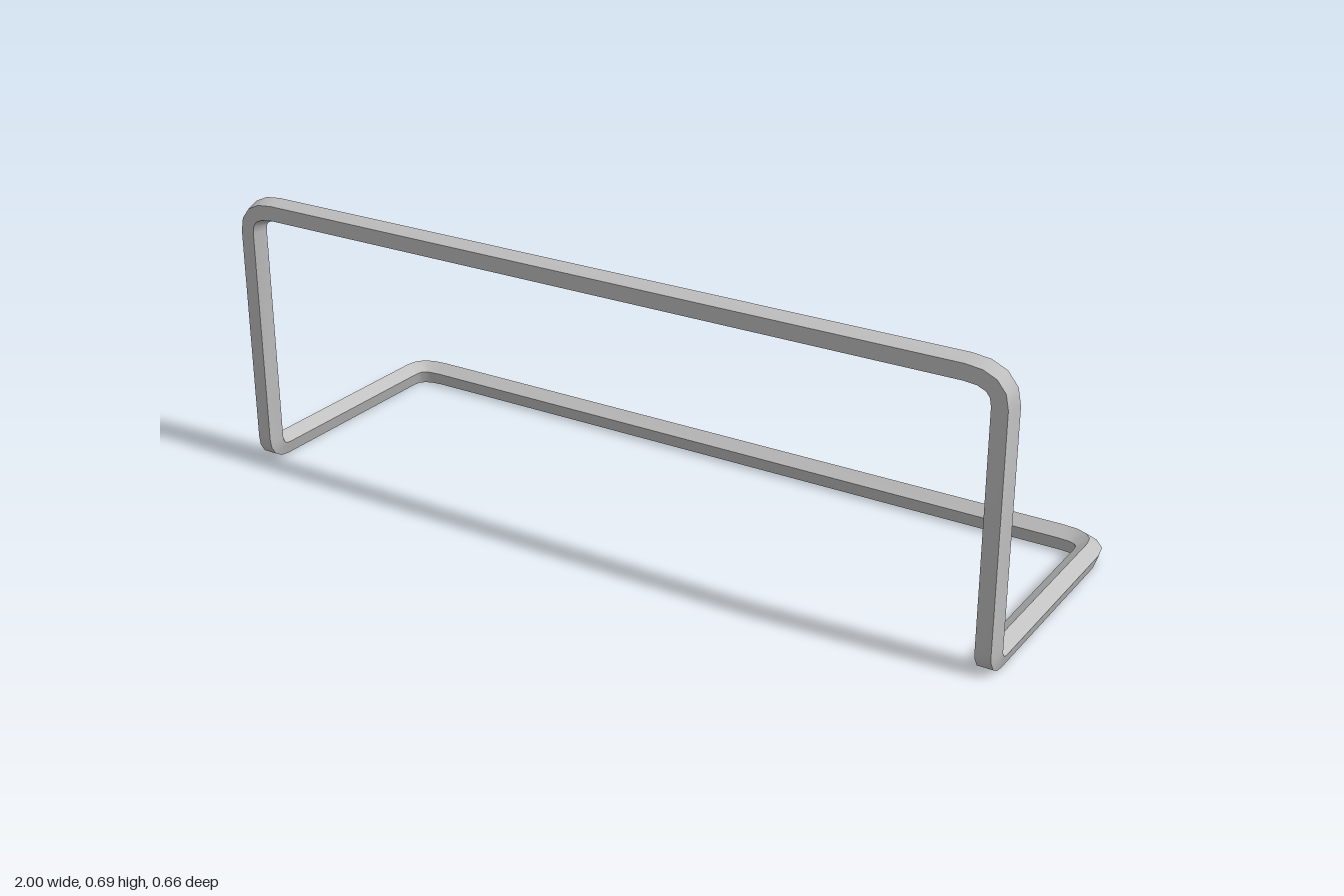
import * as THREE from 'three';
import { toCreasedNormals } from 'three/addons/utils/BufferGeometryUtils.js';

const RADIUS = 0.031;   // five-sided tube
const SIDES = 5;
const BEND_STEPS = 4;

const v = (x, y, z) => new THREE.Vector3(x, y, z);

// Corners of the closed centreline, with the bend length before and after each
const X = 0.97, BASE = 0.025, TOP = 0.6615, FRONT = 0.304, BACK = -0.2975;
const corners = [
  { p: v(X, BASE, BACK), before: 0.08, after: 0.06 },
  { p: v(X, BASE, FRONT), before: 0.034, after: 0.034 },
  { p: v(X, TOP, FRONT), before: 0.06, after: 0.08 },
  { p: v(-X, TOP, FRONT), before: 0.08, after: 0.06 },
  { p: v(-X, BASE, FRONT), before: 0.034, after: 0.034 },
  { p: v(-X, BASE, BACK), before: 0.06, after: 0.08 },
];

// Points and directions along the loop, with each corner rounded
function buildPath() {
  const path = [];
  const n = corners.length;
  corners.forEach(({ p, before, after }, i) => {
    const dirIn = p.clone().sub(corners[(i + n - 1) % n].p).normalize();
    const dirOut = corners[(i + 1) % n].p.clone().sub(p).normalize();
    const bend = new THREE.QuadraticBezierCurve3(
      p.clone().addScaledVector(dirIn, -before), p, p.clone().addScaledVector(dirOut, after));
    for (let k = 0; k <= BEND_STEPS; k++) {
      path.push({ point: bend.getPoint(k / BEND_STEPS), dir: bend.getTangent(k / BEND_STEPS) });
    }
  });
  return path;
}

// Sweep the pentagon, carrying its orientation around every bend
function buildTube() {
  const path = buildPath();
  const positions = [], index = [];
  const up = v(0, 1, 0), turn = new THREE.Quaternion();
  path.forEach(({ point, dir }, i) => {
    if (i > 0) up.applyQuaternion(turn.setFromUnitVectors(path[i - 1].dir, dir));
    const side = dir.clone().cross(up);
    for (let j = 0; j < SIDES; j++) {
      const a = (j / SIDES) * Math.PI * 2;
      const q = point.clone()
        .addScaledVector(up, Math.cos(a) * RADIUS)
        .addScaledVector(side, Math.sin(a) * RADIUS);
      positions.push(q.x, q.y, q.z);
      const next = ((i + 1) % path.length) * SIDES;
      const j2 = (j + 1) % SIDES;
      const A = i * SIDES + j, B = i * SIDES + j2, C = next + j2, D = next + j;
      index.push(A, B, C, A, C, D);
    }
  });
  const geometry = new THREE.BufferGeometry();
  geometry.setAttribute('position', new THREE.Float32BufferAttribute(positions, 3));
  geometry.setIndex(index);
  return toCreasedNormals(geometry, 0.6);
}

export function createModel() {
  const greyMetal = new THREE.MeshStandardMaterial({ color: 0xc0c0c0 });
  greyMetal.name = 'greyMetal';
  const frame = new THREE.Mesh(buildTube(), greyMetal);
  frame.name = 'bentTubeFrame';
  const group = new THREE.Group();
  group.name = 'goalFrame';
  group.add(frame);
  return group;
}
